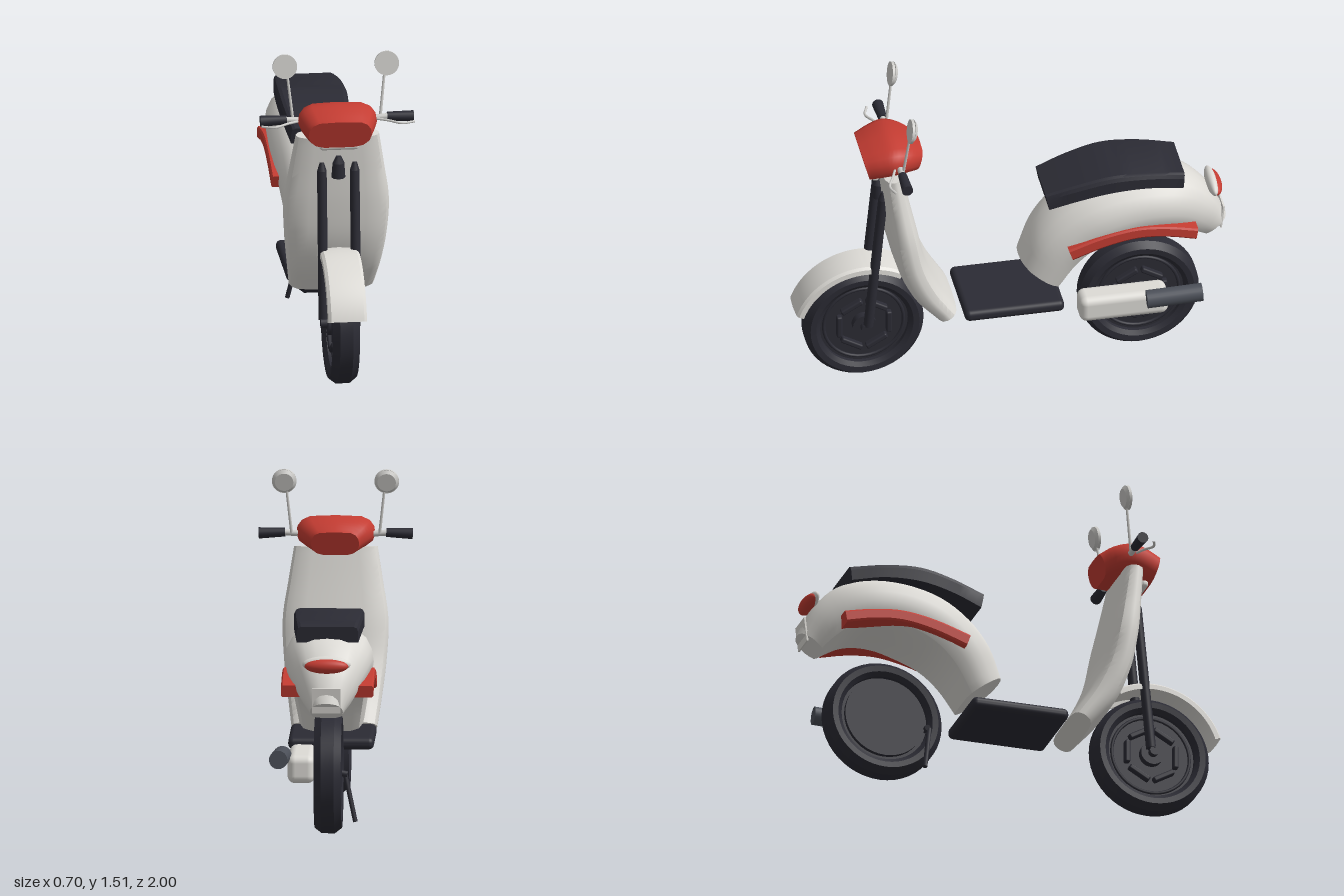
import * as THREE from 'three';
import { toCreasedNormals } from 'three/addons/utils/BufferGeometryUtils.js';
import { RoundedBoxGeometry } from 'three/addons/geometries/RoundedBoxGeometry.js';

const V = (x, y, z) => new THREE.Vector3(x, y, z);
const mat = (name, color, side = THREE.FrontSide) => {
  const m = new THREE.MeshStandardMaterial({ color, side });
  m.name = name;
  return m;
};

export function createModel() {
  const root = new THREE.Group();
  root.name = 'scooter';
  const cream = mat('cream paint', 0xdddbd6, THREE.DoubleSide);
  const red = mat('red paint', 0xc43c32);
  const black = mat('black rubber', 0x2b2b34);
  const steel = mat('dark steel', 0x4c5059);
  const chrome = mat('chrome', 0xcecdca);

  const add = (name, geo, material, pos = [0, 0, 0], parent = root) => {
    const m = new THREE.Mesh(geo, material);
    m.name = name;
    m.position.set(...pos);
    parent.add(m);
    return m;
  };

  // straight round bar from a to b
  const rod = (name, a, b, r1, r2, material, sides = 16) => {
    const A = V(...a), B = V(...b), d = B.clone().sub(A);
    const m = add(name, new THREE.CylinderGeometry(r2, r1, d.length(), sides), material);
    m.position.copy(A).add(B).multiplyScalar(0.5);
    m.quaternion.setFromUnitVectors(V(0, 1, 0), d.normalize());
    return m;
  };

  // Skin between two guide curves. Each row is [halfWidth, aY, aZ, bY, bZ];
  // a section is a closed loop of [width factor, blend from b to a].
  const loft = (rows, section, steps = 24, crease = 0.6) => {
    const ca = new THREE.CatmullRomCurve3(rows.map(r => V(r[0], r[1], r[2])));
    const cb = new THREE.CatmullRomCurve3(rows.map(r => V(r[0], r[3], r[4])));
    const pts = [], idx = [], n = section.length;
    for (let i = 0; i <= steps; i++) {
      const a = ca.getPoint(i / steps), b = cb.getPoint(i / steps);
      for (const [sx, u] of section) {
        const p = b.clone().lerp(a, u);
        pts.push(V(a.x * sx, p.y, p.z));
      }
    }
    for (let i = 0; i < steps; i++) for (let j = 0; j < n; j++) {
      const k = (j + 1) % n, p = i * n, q = p + n;
      idx.push(p + j, p + k, q + k, p + j, q + k, q + j);
    }
    // end caps, triangulated in section space
    const flat = section.map(s => new THREE.Vector2(s[0], s[1]));
    const ccw = THREE.ShapeUtils.area(flat) > 0;
    for (const [a, b, c] of THREE.ShapeUtils.triangulateShape(flat, [])) {
      const t = ccw ? [a, c, b] : [a, b, c], o = steps * n;
      idx.push(...t, t[0] + o, t[2] + o, t[1] + o);
    }
    // turn faces outward
    let vol = 0;
    for (let i = 0; i < idx.length; i += 3)
      vol += pts[idx[i]].dot(pts[idx[i + 1]].clone().cross(pts[idx[i + 2]]));
    if (vol < 0) idx.reverse();
    const g = new THREE.BufferGeometry().setFromPoints(pts);
    g.setIndex(idx);
    return toCreasedNormals(g, crease);
  };
  const mirrored = half => [...half, ...half.slice().reverse().filter(p => p[0] > 0).map(([x, u]) => [-x, u])];
  const lathe = (profile, start = 0, len = Math.PI * 2) => toCreasedNormals(
    new THREE.LatheGeometry(profile.map(p => new THREE.Vector2(...p)), 48, start, len).rotateZ(Math.PI / 2), 0.5);
  const disc = (r, w) => new THREE.CylinderGeometry(r, r, w, 40).rotateZ(Math.PI / 2);

  // wheels; a covered wheel has a plain disc on its right side
  const wheel = (name, z, covered) => {
    const g = new THREE.Group();
    g.name = name;
    g.position.set(0, 0.277, z);
    root.add(g);
    add('tyre', lathe([[0.205, -0.045], [0.225, -0.06], [0.252, -0.062], [0.277, -0.03], [0.277, 0.03],
      [0.252, 0.062], [0.225, 0.06], [0.205, 0.045], [0.205, -0.045]]), black, [0, 0, 0], g);
    add('rimDisc', disc(0.207, 0.05), black, [0, 0, 0], g);
    for (const s of [-1, 1]) {
      if (covered && s < 0) {
        add('wheelCover', disc(0.19, 0.02), black, [-0.045, 0, 0], g);
        continue;
      }
      add('hub', disc(0.055, 0.06), black, [s * 0.03, 0, 0], g);
      add('rimRing', new THREE.TorusGeometry(0.185, 0.008, 8, 40).rotateY(Math.PI / 2), black, [s * 0.026, 0, 0], g);
      for (let i = 0; i < 6; i++) {
        const a = i * Math.PI / 3;
        add('rimRib', new RoundedBoxGeometry(0.05, 0.11, 0.026, 2, 0.008), black,
          [s * 0.028, -Math.sin(a) * 0.115, Math.cos(a) * 0.115], g).rotation.x = a;
      }
    }
  };
  wheel('frontWheel', 0.68, false);
  wheel('rearWheel', -0.595, true);

  // front mudguard: a U-shaped strip wrapped around the wheel
  const deg = Math.PI / 180;
  add('frontMudguard', lathe([[0.305, -0.09], [0.328, -0.088], [0.338, -0.075], [0.342, 0], [0.338, 0.075], [0.328, 0.088],
    [0.305, 0.09], [0.305, 0.082], [0.325, 0.08], [0.332, 0], [0.325, -0.08], [0.305, -0.082], [0.305, -0.09]],
  19 * deg, 102 * deg), cream, [0, 0.277, 0.68]);

  // front fork and horn
  for (const s of [-1, 1]) {
    rod('forkLeg', [s * 0.075, 0.29, 0.667], [s * 0.075, 0.98, 0.6], 0.023, 0.022, black);
    rod('forkTip', [s * 0.075, 0.98, 0.6], [s * 0.075, 1.02, 0.598], 0.022, 0.01, black);
  }
  rod('frontAxle', [-0.09, 0.277, 0.68], [0.09, 0.277, 0.68], 0.022, 0.022, black);
  rod('horn', [0, 0.95, 0.605], [0, 1.02, 0.608], 0.032, 0.027, black, 8);
  rod('hornTip', [0, 1.02, 0.608], [0, 1.052, 0.61], 0.027, 0.012, black, 8);

  // leg shield: curved slab with rounded edges
  add('legShield', loft([[0.19, 1.14, 0.61, 1.15, 0.52], [0.215, 0.98, 0.595, 1, 0.49], [0.24, 0.8, 0.575, 0.84, 0.455],
    [0.233, 0.62, 0.54, 0.66, 0.415], [0.215, 0.47, 0.475, 0.51, 0.35], [0.195, 0.33, 0.36, 0.38, 0.27]],
  mirrored([[0, -0.02], [0.55, 0], [0.8, 0.06], [0.94, 0.2], [1, 0.42], [1, 0.58], [0.94, 0.8], [0.8, 0.94], [0.55, 1], [0, 1.02]])), cream);

  // handlebar housing
  add('handlebarHousing', loft([[0.145, 1.245, 0.7, 1.112, 0.665], [0.168, 1.272, 0.63, 1.125, 0.61], [0.18, 1.287, 0.56, 1.135, 0.56],
    [0.157, 1.268, 0.48, 1.135, 0.5], [0.11, 1.23, 0.415, 1.12, 0.45]],
  mirrored([[0, 0], [0.5, 0.01], [0.75, 0.08], [0.93, 0.24], [1, 0.45], [0.97, 0.68], [0.86, 0.86], [0.65, 0.97], [0, 1]]), 16, 0.7), red);
  add('lampRim', new RoundedBoxGeometry(0.18, 0.035, 0.035, 3, 0.015), cream, [0, 1.11, 0.635]);

  // grips, levers and mirrors
  for (const s of [-1, 1]) {
    rod('handlebar', [s * 0.14, 1.205, 0.54], [s * 0.24, 1.212, 0.54], 0.014, 0.014, chrome);
    rod('grip', [s * 0.23, 1.212, 0.54], [s * 0.35, 1.208, 0.54], 0.02, 0.026, black);
    const path = new THREE.CatmullRomCurve3([V(s * 0.18, 1.21, 0.565), V(s * 0.23, 1.207, 0.585), V(s * 0.29, 1.2, 0.61), V(s * 0.35, 1.2, 0.592)]);
    add('brakeLever', new THREE.TubeGeometry(path, 16, 0.006, 8), chrome);
    rod('mirrorStem', [s * 0.2, 1.21, 0.53], [s * 0.223, 1.42, 0.503], 0.007, 0.006, chrome, 10);
    rod('mirrorBack', [s * 0.233, 1.449, 0.482], [s * 0.233, 1.452, 0.495], 0.042, 0.056, chrome, 28);
    rod('mirror', [s * 0.233, 1.452, 0.495], [s * 0.233, 1.454, 0.507], 0.056, 0.056, chrome, 28);
  }

  // floorboard
  add('floorboard', new RoundedBoxGeometry(0.39, 0.055, 0.46, 4, 0.024), black, [0, 0.352, 0.01]);

  // rear body, arching over the wheel
  add('rearBody', loft([[0.15, 0.54, -0.04, 0.41, -0.22], [0.172, 0.69, -0.1, 0.53, -0.3], [0.187, 0.81, -0.2, 0.605, -0.38],
    [0.2, 0.9, -0.34, 0.65, -0.47], [0.2, 0.945, -0.52, 0.68, -0.58], [0.19, 0.94, -0.7, 0.68, -0.69],
    [0.165, 0.895, -0.83, 0.655, -0.77], [0.125, 0.795, -0.93, 0.61, -0.84], [0.075, 0.65, -1, 0.57, -0.89]],
  mirrored([[0, 0], [0.6, 0.015], [0.84, 0.09], [0.96, 0.24], [1, 0.42], [0.96, 0.6], [0.84, 0.78], [0.62, 0.91], [0.34, 0.98], [0, 1]]), 32), cream);

  // side trims
  for (const s of [-1, 1])
    add('sideTrim', loft([[0.21, 0.672, -0.235, 0.615, -0.255], [0.21, 0.725, -0.4, 0.668, -0.41], [0.21, 0.75, -0.56, 0.695, -0.56],
      [0.21, 0.738, -0.7, 0.685, -0.695], [0.21, 0.71, -0.835, 0.655, -0.825]],
    [[s * 0.5, 0], [s * 0.97, 0], [s, 0.15], [s, 0.85], [s * 0.97, 1], [s * 0.5, 1]], 20, 0.4), red);

  // saddle
  add('seat', loft([[0.13, 0.93, -0.145, 0.855, -0.16], [0.15, 0.975, -0.29, 0.9, -0.3], [0.16, 1.008, -0.45, 0.93, -0.45],
    [0.155, 1, -0.62, 0.93, -0.62], [0.14, 0.972, -0.787, 0.9, -0.78]],
  mirrored([[1, 0], [1, 0.7], [0.95, 0.92], [0.86, 1]]), 20, 0.4), black);

  // tail lamp and number plate
  const ball = new THREE.SphereGeometry(1, 28, 16);
  add('tailLampRim', ball, cream, [0, 0.822, -0.935]).scale.set(0.11, 0.038, 0.026);
  add('tailLamp', ball, red, [0, 0.815, -0.945]).scale.set(0.1, 0.034, 0.036);
  add('plateHolder', new THREE.BoxGeometry(0.13, 0.115, 0.008), cream, [0, 0.66, -0.975]).rotation.x = -0.12;
  add('plateBracket', new THREE.BoxGeometry(0.05, 0.03, 0.06), cream, [0, 0.69, -0.95]);

  // drive unit, exhaust and side stand
  add('driveUnit', new RoundedBoxGeometry(0.125, 0.128, 0.41, 4, 0.035), cream, [0.122, 0.302, -0.5]);
  rod('exhaust', [0.21, 0.355, -0.595], [0.222, 0.37, -0.85], 0.042, 0.042, steel, 24);
  rod('sideStand', [-0.07, 0.24, -0.39], [-0.117, 0.025, -0.425], 0.011, 0.011, black, 8);
  rod('standMount', [-0.08, 0.24, -0.4], [0.08, 0.27, -0.4], 0.014, 0.014, black, 8);

  return root;
}
